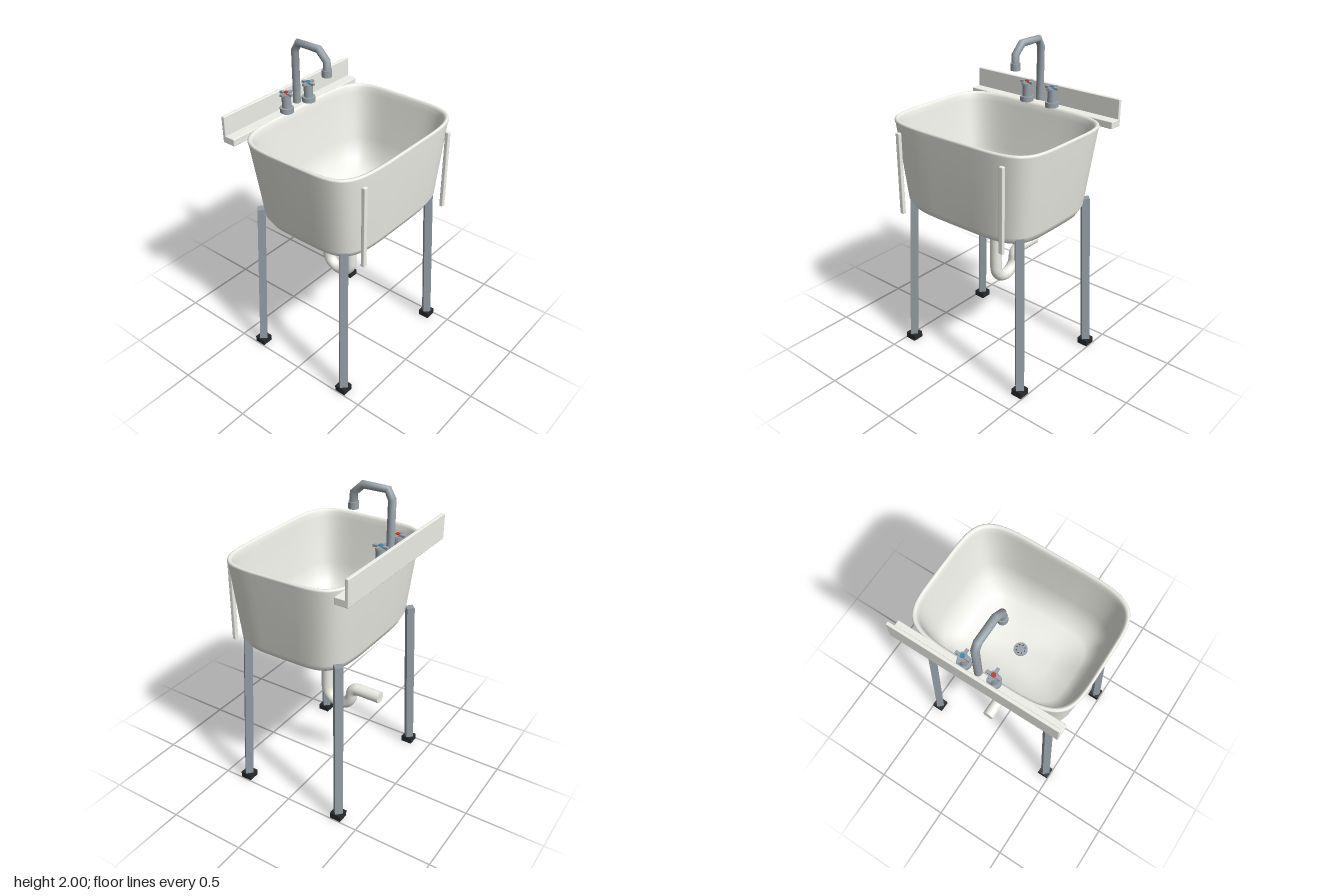
import * as THREE from 'three';
import { RoundedBoxGeometry } from 'three/addons/geometries/RoundedBoxGeometry.js';

const paint = (color) => new THREE.MeshStandardMaterial({ color });
const ceramic = paint(0xeeefe7);
const steel = paint(0x98a3aa);
const legSteel = paint(0x929ea6);
legSteel.flatShading = true;
const rubber = paint(0x26282a);
const red = paint(0xc0392b);
const blue = paint(0x3f86ad);

function add(parent, name, geometry, material, x = 0, y = 0, z = 0) {
  const mesh = new THREE.Mesh(geometry, material);
  mesh.name = name;
  mesh.position.set(x, y, z);
  parent.add(mesh);
  return mesh;
}
const box = (w, h, d) => new THREE.BoxGeometry(w, h, d);
const softBox = (w, h, d) => new RoundedBoxGeometry(w, h, d, 2, 0.005);
const cyl = (r, h, n = 24) => new THREE.CylinderGeometry(r, r, h, n);

// Polyline with mitred corners, in the x = 0 plane; points are [z, y]
class Polyline extends THREE.Curve {
  constructor(points) {
    super();
    this.points = points.map(([z, y]) => new THREE.Vector3(0, y, z));
  }
  getPoint(t) {
    const last = this.points.length - 1;
    const i = Math.min(Math.floor(t * last + 1e-6), last - 1);
    return this.points[i].clone().lerp(this.points[i + 1], t * last - i);
  }
  getPointAt(t) { return this.getPoint(t); }
  getTangentAt(t) {
    const p = this.points, i = Math.round(t * (p.length - 1));
    const dir = new THREE.Vector3();
    if (i > 0) dir.add(p[i].clone().sub(p[i - 1]).normalize());
    if (i < p.length - 1) dir.add(p[i + 1].clone().sub(p[i]).normalize());
    return dir.normalize();
  }
}
const pipe = (points, r, sides = 20) => new THREE.TubeGeometry(new Polyline(points), points.length - 1, r, sides);

// Points of an arc as [z, y]
function arc(z, y, r, from, to, steps) {
  return Array.from({ length: steps + 1 }, (_, i) => {
    const a = from + (to - from) * i / steps;
    return [z + r * Math.cos(a), y + r * Math.sin(a)];
  });
}

// Basin: rounded-rectangle rings from the outer base, over the rim, to the inner floor
function basinGeometry() {
  // half width, half depth, y, centre z, squareness
  const rings = [
    [0.001, 0.001, 0.966, 0.033, 4], [0.22, 0.15, 0.966, 0.033, 4], [0.39, 0.29, 0.969, 0.033, 4.4],
    [0.455, 0.35, 1.01, 0.037, 4.6], [0.481, 0.375, 1.06, 0.038, 4.8],
    [0.537, 0.414, 1.535, 0.031, 5], [0.543, 0.418, 1.557, 0.031, 5],
    [0.541, 0.416, 1.566, 0.031, 5], [0.534, 0.409, 1.571, 0.031, 5], [0.525, 0.4, 1.568, 0.031, 5],
    [0.518, 0.393, 1.555, 0.031, 5], [0.512, 0.387, 1.52, 0.032, 5], [0.47, 0.353, 1.22, 0.036, 4.8],
    [0.435, 0.32, 1.1, 0.036, 4.6], [0.37, 0.25, 1.03, 0.034, 4.4],
    [0.21, 0.125, 0.998, 0.033, 4], [0.001, 0.001, 0.994, 0.033, 4],
  ];
  const n = 96, pos = [], index = [];
  const power = (v, e) => Math.sign(v) * Math.pow(Math.abs(v), e);
  rings.forEach(([w, d, y, cz, square], i) => {
    for (let j = 0; j < n; j++) {
      const t = j / n * Math.PI * 2;
      pos.push(w * power(Math.cos(t), 2 / square), y, cz + d * power(Math.sin(t), 2 / square));
      if (i === rings.length - 1) continue;
      const a = i * n + j, b = i * n + (j + 1) % n;
      index.push(a, a + n, b, b, a + n, b + n);
    }
  });
  const g = new THREE.BufferGeometry();
  g.setAttribute('position', new THREE.Float32BufferAttribute(pos, 3));
  g.setIndex(index);
  g.computeVertexNormals();
  return g;
}

function createTap(cap) {
  const tap = new THREE.Group();
  tap.name = 'tap';
  add(tap, 'tapBase', cyl(0.042, 0.032), steel, 0, 0.016, 0);
  add(tap, 'tapStem', cyl(0.028, 0.09), steel, 0, 0.07, 0);
  add(tap, 'handleBar', box(0.092, 0.014, 0.018), steel, 0, 0.119, 0);
  add(tap, 'handleCrossBar', box(0.018, 0.014, 0.092), steel, 0, 0.119, 0);
  add(tap, 'handleCap', cyl(0.014, 0.014, 16), cap, 0, 0.124, 0);
  return tap;
}

function createLeg(sx, sz) {
  const leg = new THREE.Group();
  leg.name = (sz > 0 ? 'front' : 'back') + (sx > 0 ? 'Left' : 'Right') + 'Leg';
  const top = new THREE.Vector3(sx * 0.419, sz > 0 ? 1.05 : 1.07, sz * 0.32);
  const foot = new THREE.Vector3(sx * 0.459, 0.03, sz * 0.349);
  const dir = top.clone().sub(foot);
  const post = add(leg, 'post', cyl(0.035, dir.length(), 4), legSteel);
  post.position.copy(top).add(foot).multiplyScalar(0.5);
  post.quaternion.setFromUnitVectors(new THREE.Vector3(0, 1, 0), dir.normalize());
  add(leg, 'foot', box(0.073, 0.04, 0.073), rubber, foot.x, 0.02, foot.z);
  return leg;
}

export function createModel() {
  const sink = new THREE.Group();
  sink.name = 'utilitySink';
  add(sink, 'basin', basinGeometry(), ceramic);

  // Tap ledge and splash plate
  add(sink, 'ledge', softBox(1.088, 0.044, 0.088), ceramic, 0, 1.548, -0.413);
  add(sink, 'backsplash', softBox(1.088, 0.164, 0.022), ceramic, 0, 1.608, -0.446);

  // Upright strips on the front, legs and taps
  for (const sx of [-1, 1]) {
    add(sink, 'frontStrip', softBox(0.028, 0.518, 0.024), ceramic, sx * 0.393, 1.251, 0.443);
    for (const sz of [-1, 1]) sink.add(createLeg(sx, sz));
    const tap = createTap(sx < 0 ? red : blue);
    tap.position.set(sx * 0.097, 1.568, -0.382);
    sink.add(tap);
  }

  // Spout with angular bends
  const spout = [[-0.388, 1.595], [-0.388, 1.925], [-0.36, 1.977], [-0.205, 1.977], [-0.146, 1.92], [-0.146, 1.85]];
  add(sink, 'spout', pipe(spout, 0.0235), steel);
  add(sink, 'nozzle', cyl(0.03, 0.042), steel, 0, 1.85, -0.146);

  // Drain cover with a ring of holes
  add(sink, 'drain', cyl(0.044, 0.012, 32), steel, 0, 1.0, 0.03);
  for (let i = 0; i < 8; i++) {
    const a = i / 8 * Math.PI * 2;
    add(sink, 'drainHole', cyl(0.004, 0.002, 8), rubber, 0.028 * Math.cos(a), 1.0065, 0.03 + 0.028 * Math.sin(a));
  }

  // Waste pipe with its trap; the second arc starts where the first one ends
  const trap = [
    [0.033, 0.985], [0.033, 0.67],
    ...arc(-0.06, 0.58, 0.093, 0, -Math.PI, 16),
    ...arc(-0.203, 0.58, 0.05, 0, Math.PI / 2, 8).slice(1),
    [-0.36, 0.63],
  ];
  add(sink, 'wastePipe', pipe(trap, 0.0375), ceramic);
  const end = add(sink, 'wastePipeEnd', new THREE.CircleGeometry(0.0375, 20), ceramic, 0, 0.63, -0.36);
  end.rotation.y = Math.PI;
  return sink;
}
